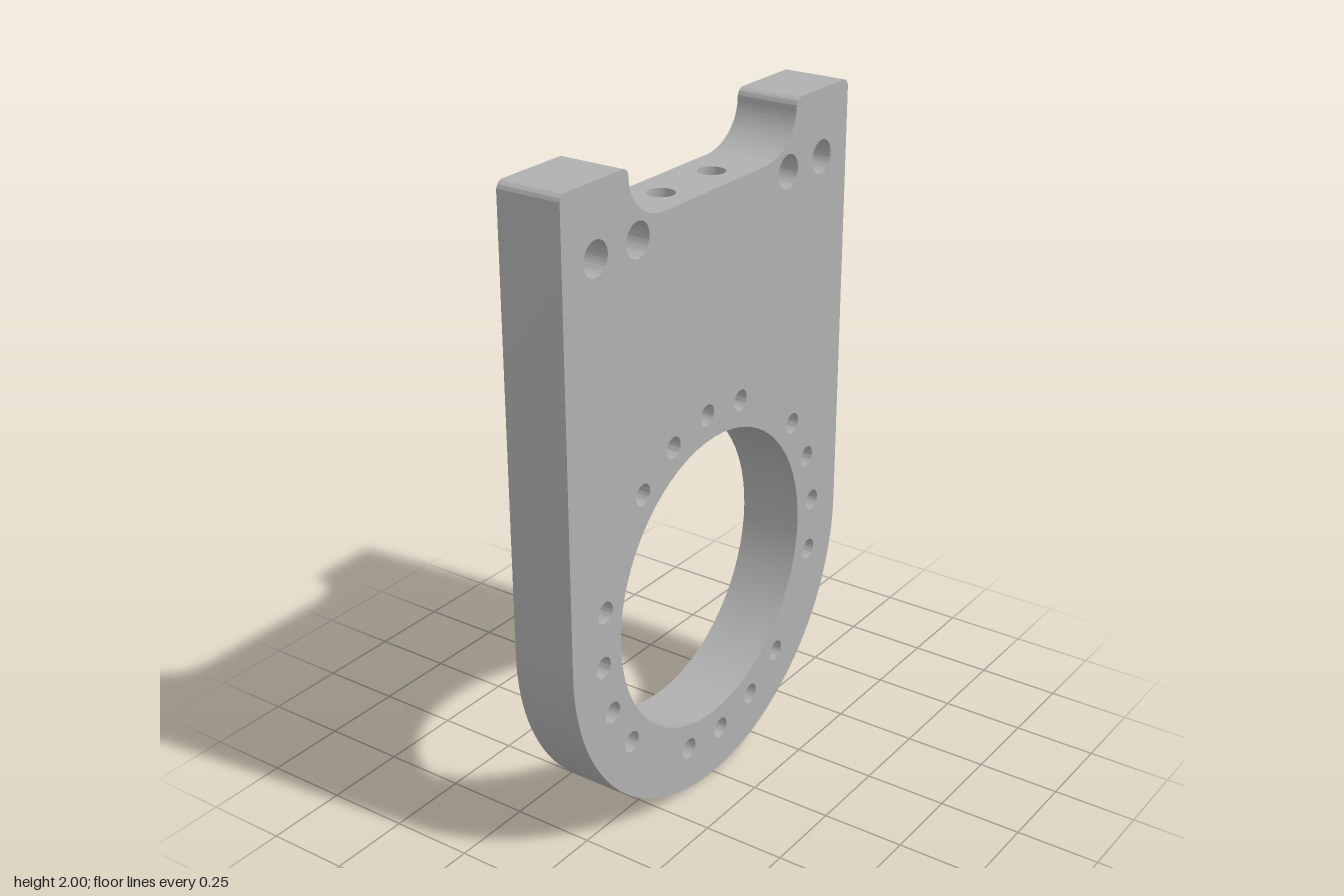
import * as THREE from 'three';
import { toCreasedNormals } from 'three/addons/utils/BufferGeometryUtils.js';

const W = 0.665, T = 0.196, H = 2;        // half width, thickness, height
const FLOOR = 1.845, FLAT = 0.235;        // notch floor height and half width
const NOTCH = 0.39, R = 0.026;            // notch half width, small corner radius
const BORE_X = 0.118, BORE_R = 0.04;

function circle(x, y, r) {
  return new THREE.Path().absarc(x, y, r, 0, Math.PI * 2, true);
}

function plateShape() {
  const s = new THREE.Shape();
  const rx = NOTCH - FLAT, ry = H - R - FLOOR;
  // rounded bottom, right side and right shoulder
  s.absarc(0, W, W, Math.PI, Math.PI * 2, false);
  s.absarc(W - R, H - R, R, 0, Math.PI / 2, false);
  s.absarc(NOTCH + R, H - R, R, Math.PI / 2, Math.PI, false);
  // notch with concave corners
  s.absellipse(FLAT, H - R, rx, ry, 0, -Math.PI / 2, true);
  s.lineTo(-FLAT, FLOOR);
  s.absellipse(-FLAT, H - R, rx, ry, -Math.PI / 2, -Math.PI, true);
  // left shoulder
  s.absarc(-NOTCH - R, H - R, R, 0, Math.PI / 2, false);
  s.absarc(-W + R, H - R, R, Math.PI / 2, Math.PI, false);
  s.closePath();

  // large opening and the four mounting holes
  s.holes.push(circle(0, 0.668, 0.453));
  for (const x of [-0.53, -0.354, 0.354, 0.53]) s.holes.push(circle(x, 1.8, 0.05));
  // four groups of four bolt holes around the opening
  for (let q = 0; q < 4; q++) {
    for (let i = -1; i < 3; i++) {
      const a = THREE.MathUtils.degToRad(4.2 + q * 90 + i * 17.9);
      s.holes.push(circle(0.533 * Math.cos(a), 0.668 + 0.533 * Math.sin(a), 0.032));
    }
  }
  return s;
}

// Drops the triangles of the notch floor, which is rebuilt with drilled holes
function withoutFloor(geo) {
  const p = geo.attributes.position, kept = [];
  for (let i = 0; i < p.count; i += 3) {
    const onFloor = [0, 1, 2].every(k =>
      Math.abs(p.getY(i + k) - FLOOR) < 1e-5 && Math.abs(p.getX(i + k)) < FLAT + 1e-4);
    if (!onFloor) for (let k = 0; k < 3; k++) kept.push(p.getX(i + k), p.getY(i + k), p.getZ(i + k));
  }
  const out = new THREE.BufferGeometry();
  out.setAttribute('position', new THREE.Float32BufferAttribute(kept, 3));
  return out;
}

export function createModel() {
  const group = new THREE.Group();
  group.name = 'mountingPlate';
  const grey = new THREE.MeshStandardMaterial({ color: 0xb0b0b0 });
  grey.name = 'grey';
  const add = (name, geo) => {
    const m = new THREE.Mesh(geo, grey);
    m.name = name;
    group.add(m);
    return m;
  };

  // plate body
  const body = new THREE.ExtrudeGeometry(plateShape(), { depth: T, bevelEnabled: false, curveSegments: 32 });
  body.translate(0, 0, -T / 2);
  add('plate', toCreasedNormals(withoutFloor(body), 0.6));

  // notch floor with two openings
  const f = new THREE.Shape();
  f.moveTo(-FLAT, -T / 2).lineTo(FLAT, -T / 2).lineTo(FLAT, T / 2).lineTo(-FLAT, T / 2).closePath();
  for (const s of [-1, 1]) f.holes.push(circle(s * BORE_X, 0, BORE_R));
  const floor = add('notchFloor', new THREE.ShapeGeometry(f, 32));
  floor.rotation.x = -Math.PI / 2;
  floor.position.y = FLOOR;

  // blind drilled holes with conical ends, facing inwards
  const profile = [[BORE_R, 0], [BORE_R, -0.28], [0, -0.304]].map(([x, y]) => new THREE.Vector2(x, y));
  for (const s of [-1, 1]) {
    const geo = toCreasedNormals(new THREE.LatheGeometry(profile, 32), 0.6);
    add(s < 0 ? 'rightBore' : 'leftBore', geo).position.set(s * BORE_X, FLOOR, 0);
  }
  return group;
}
